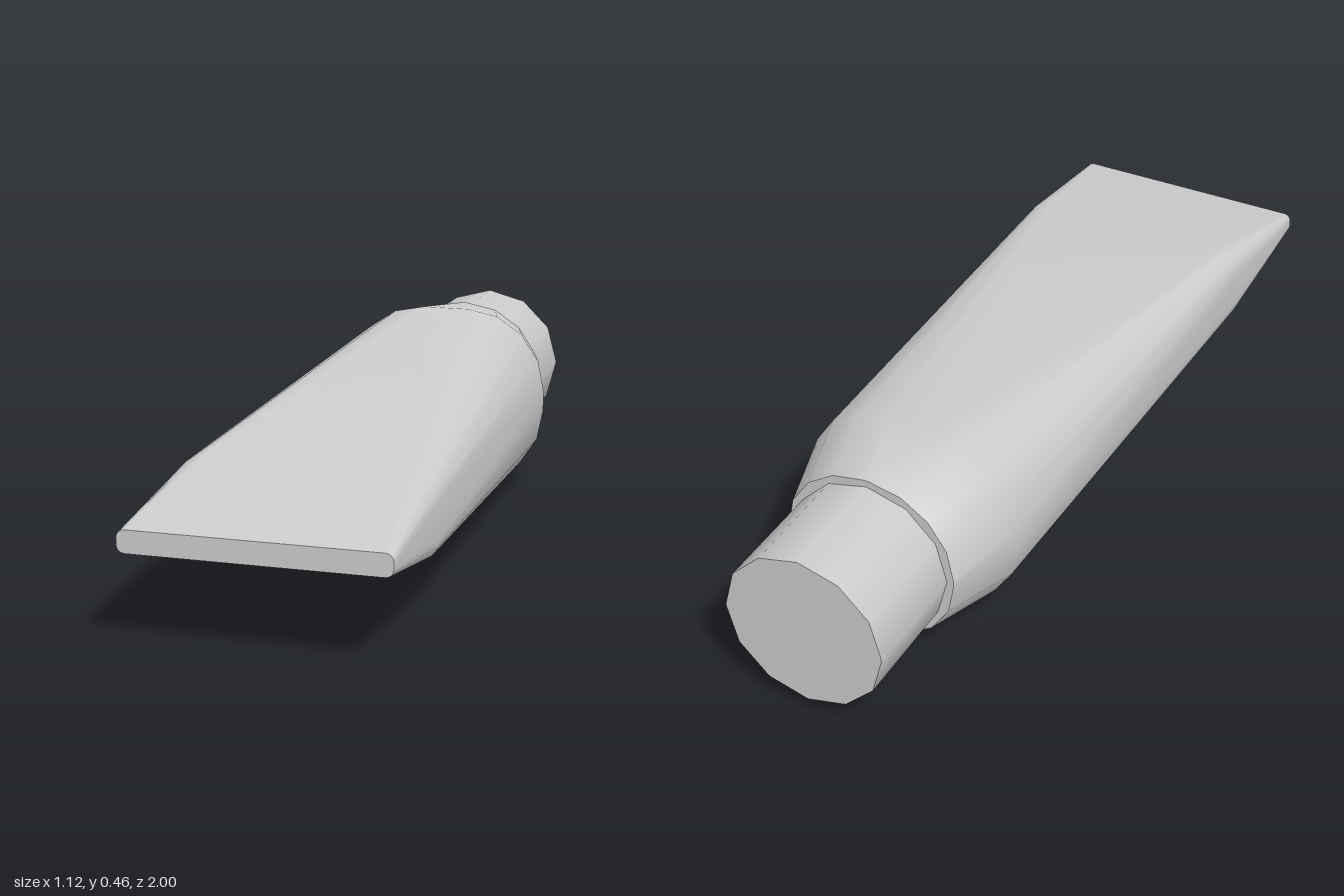
import * as THREE from 'three';

// Rounded rectangle section, counter-clockwise seen from +z
function section(halfW, halfH, r, z) {
  const pts = [];
  for (let corner = 0; corner < 4; corner++) {
    const sx = corner === 0 || corner === 3 ? 1 : -1;
    const sy = corner < 2 ? 1 : -1;
    for (let k = 0; k <= 4; k++) {
      const a = (corner + k / 4) * Math.PI / 2;
      pts.push([sx * (halfW - r) + r * Math.cos(a), sy * (halfH - r) + r * Math.sin(a), z]);
    }
  }
  return pts;
}

// Smooth skin through the sections, with flat closed ends
function loft(rings) {
  const n = rings[0].length;
  const pos = rings.flat(2);
  const index = [];
  for (let j = 0; j < rings.length - 1; j++) {
    for (let i = 0; i < n; i++) {
      const a = j * n + i, b = j * n + (i + 1) % n;
      index.push(a, b, a + n, b, b + n, a + n);
    }
  }
  // End faces use their own vertices so their edges stay sharp
  [rings[0], rings[rings.length - 1]].forEach((ring, end) => {
    const base = pos.length / 3;
    pos.push(...ring.flat());
    for (let i = 1; i < n - 1; i++) {
      if (end) index.push(base, base + i, base + i + 1);
      else index.push(base, base + i + 1, base + i);
    }
  });
  const geo = new THREE.BufferGeometry();
  geo.setAttribute('position', new THREE.Float32BufferAttribute(pos, 3));
  geo.setIndex(index);
  geo.computeVertexNormals();
  return geo;
}

export function createModel() {
  const model = new THREE.Group();
  model.name = 'squeezeTube';
  const grey = new THREE.MeshStandardMaterial({ color: 0xcccccc });
  grey.name = 'lightGrey';

  // The tube lies along its own z axis and is turned on the ground
  const tube = new THREE.Group();
  tube.name = 'tube';
  tube.rotation.y = -THREE.MathUtils.degToRad(20);
  model.add(tube);

  // Body: round at the shoulder, pressed flat at the front
  const body = new THREE.Mesh(loft([
    section(0.207, 0.207, 0.2, -0.732),
    section(0.261, 0.228, 0.203, -0.541),
    section(0.295, 0.1, 0.058, 0.587),
    section(0.297, 0.0255, 0.018, 0.939),
  ]), grey);
  body.name = 'body';
  body.position.set(0.0375, 0.228, 0);
  tube.add(body);

  // Twelve-sided cap
  const cap = new THREE.Mesh(
    new THREE.CylinderGeometry(0.191, 0.191, 0.287, 12).rotateX(Math.PI / 2), grey);
  cap.name = 'cap';
  cap.position.set(0.0375, 0.228, -0.865);
  tube.add(cap);

  return model;
}
